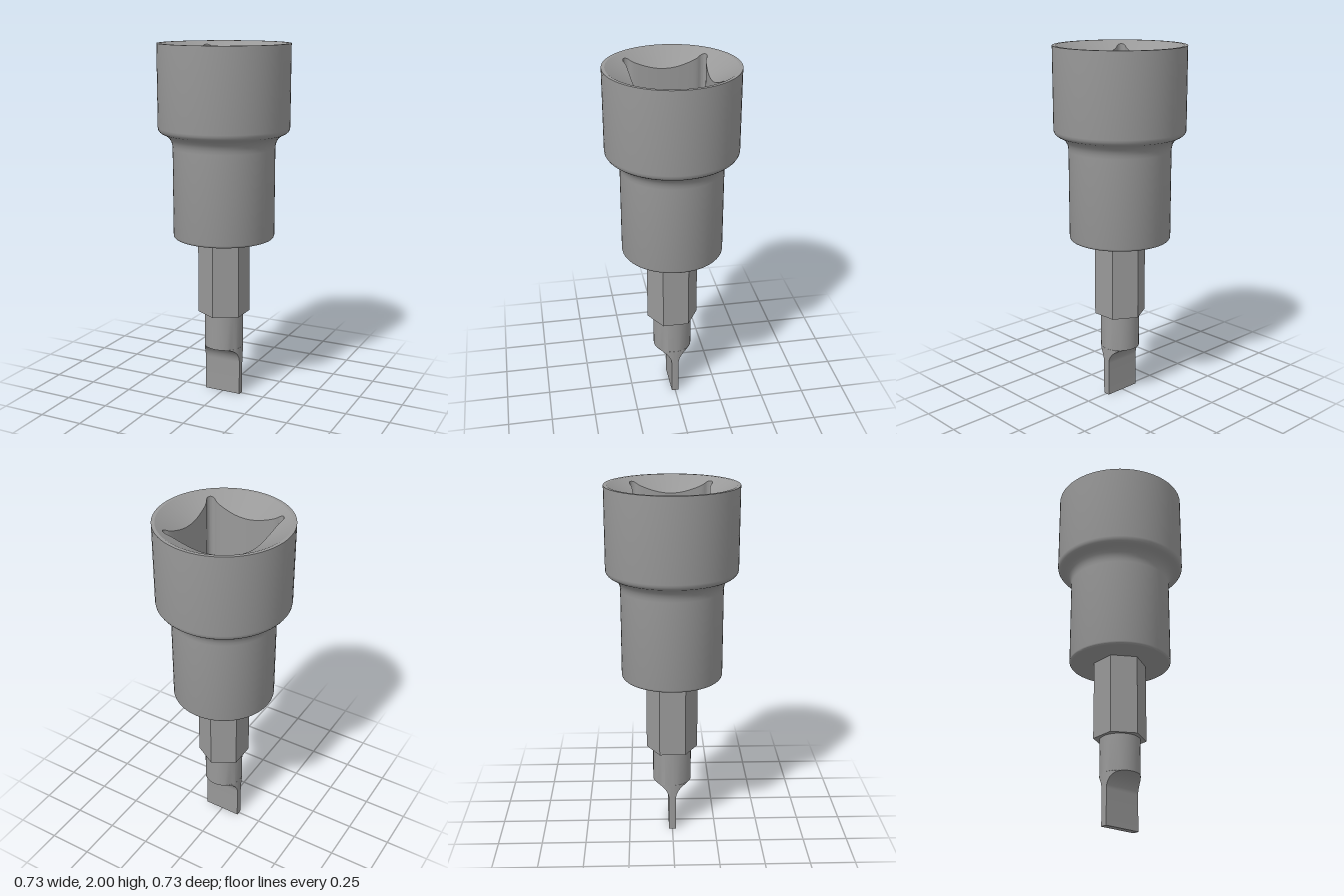
import * as THREE from 'three';
import { toCreasedNormals } from 'three/addons/utils/BufferGeometryUtils.js';

const material = new THREE.MeshStandardMaterial({ color: 0x999999 });

// Skin a stack of closed rings of equal length.
function loft(rings, crease) {
  const n = rings[0].length;
  const index = [];
  for (let i = 0; i < rings.length - 1; i++) {
    for (let j = 0; j < n; j++) {
      const a = i * n + j, b = i * n + (j + 1) % n;
      index.push(a, a + n, b, b, a + n, b + n);
    }
  }
  const geometry = new THREE.BufferGeometry().setFromPoints(rings.flat());
  geometry.setIndex(index);
  return toCreasedNormals(geometry, crease);
}

// Turn a profile of [radius, height] pairs; upward profiles face outward.
function turn(profile, segments, crease) {
  const points = profile.map(([x, y]) => new THREE.Vector2(x, y));
  return toCreasedNormals(new THREE.LatheGeometry(points, segments), crease);
}

export function createModel() {
  const group = new THREE.Group();
  const add = (name, geometry, y = 0) => {
    const mesh = new THREE.Mesh(geometry, material);
    mesh.name = name;
    mesh.position.y = y;
    group.add(mesh);
  };

  // Stepped round body with a filleted shoulder
  add('socketBody', turn([
    [0, 0.93], [0.27, 0.93], [0.277, 0.932], [0.281, 0.937], [0.283, 0.944],
    [0.283, 1.435], [0.285, 1.454], [0.29, 1.471], [0.299, 1.487], [0.312, 1.501],
    [0.33, 1.512], [0.344, 1.518], [0.354, 1.526], [0.361, 1.537], [0.363, 1.55],
    [0.363, 2],
  ], 64, 0.8));

  // Outline of the square drive: one eighth, mirrored and turned four times
  const eighth = [
    [0.203, 0], [0.204, 0.06], [0.208, 0.12], [0.213, 0.165], [0.218, 0.181],
    [0.225, 0.194], [0.227, 0.205], [0.224, 0.215],
  ];
  const quarter = [
    ...eighth, [0.22, 0.22],
    ...eighth.slice(1).reverse().map(([x, z]) => [z, x]),
  ];
  const corners = [];
  for (let k = 0; k < 4; k++) {
    const c = Math.round(Math.cos(k * Math.PI / 2)), s = Math.round(Math.sin(k * Math.PI / 2));
    for (const [x, z] of quarter) corners.push(new THREE.Vector3(c * x - s * z, 0, s * x + c * z));
  }
  const outline = new THREE.CatmullRomCurve3(corners, true).getPoints(192).slice(0, -1);

  // Flat rim, conical lead-in and straight drive walls
  const floorY = 1.54, rimRadius = 0.345;
  const circle = (r) => outline.map((p) => p.clone().setLength(r).setY(2));
  const mouth = outline.map((p) => p.clone().setY(2 - (rimRadius - p.length()) * 0.577));
  const foot = outline.map((p) => p.clone().setY(floorY));
  add('driveRecess', loft([circle(0.363), circle(rimRadius), mouth, foot], 0.45));

  // Recess floor with a round blind bore
  const boreRadius = 0.121, boreY = 1.1;
  const floor = new THREE.Shape(outline.map((p) => new THREE.Vector2(p.x, p.z)));
  floor.holes.push(new THREE.Path().absarc(0, 0, boreRadius, 0, Math.PI * 2, true));
  add('recessFloor', new THREE.ShapeGeometry(floor, 10).rotateX(-Math.PI / 2), floorY);
  add('bore', turn([[boreRadius, floorY], [boreRadius, boreY], [0, boreY]], 20, 0.6));

  // Hexagonal shank, corners to front and back
  const hex = new THREE.CylinderGeometry(0.146, 0.146, 0.45, 6);
  add('hexShank', toCreasedNormals(hex, 0.4), 0.712);

  // Neck and flat blade: a circle cut off at z = +-h, with a concave run-out
  const r = 0.11;
  const section = (y, h) => {
    const a = Math.asin(Math.min(1, h / r));
    const ring = [];
    for (const side of [1, -1]) {
      for (let i = 0; i < 16; i++) {
        const t = -a + 2 * a * i / 16;
        ring.push(new THREE.Vector3(side * r * Math.cos(t), y, side * r * Math.sin(t)));
      }
      for (let i = 0; i < 16; i++) {
        const t = a + (Math.PI - 2 * a) * i / 16;
        ring.push(new THREE.Vector3(side * r * Math.cos(t), y, side * h));
      }
    }
    return ring;
  };
  const half = 0.02, fillet = r - half, runOutY = 0.285;
  const rings = [section(0, 0.0001), section(0, half)];
  for (let i = 0; i <= 14; i++) {
    const t = i / 14 * Math.PI / 2;
    rings.push(section(runOutY - fillet + fillet * Math.sin(t), r - fillet * Math.cos(t)));
  }
  rings.push(section(0.5, r));
  add('neckAndBlade', loft(rings, 0.5));

  return group;
}
